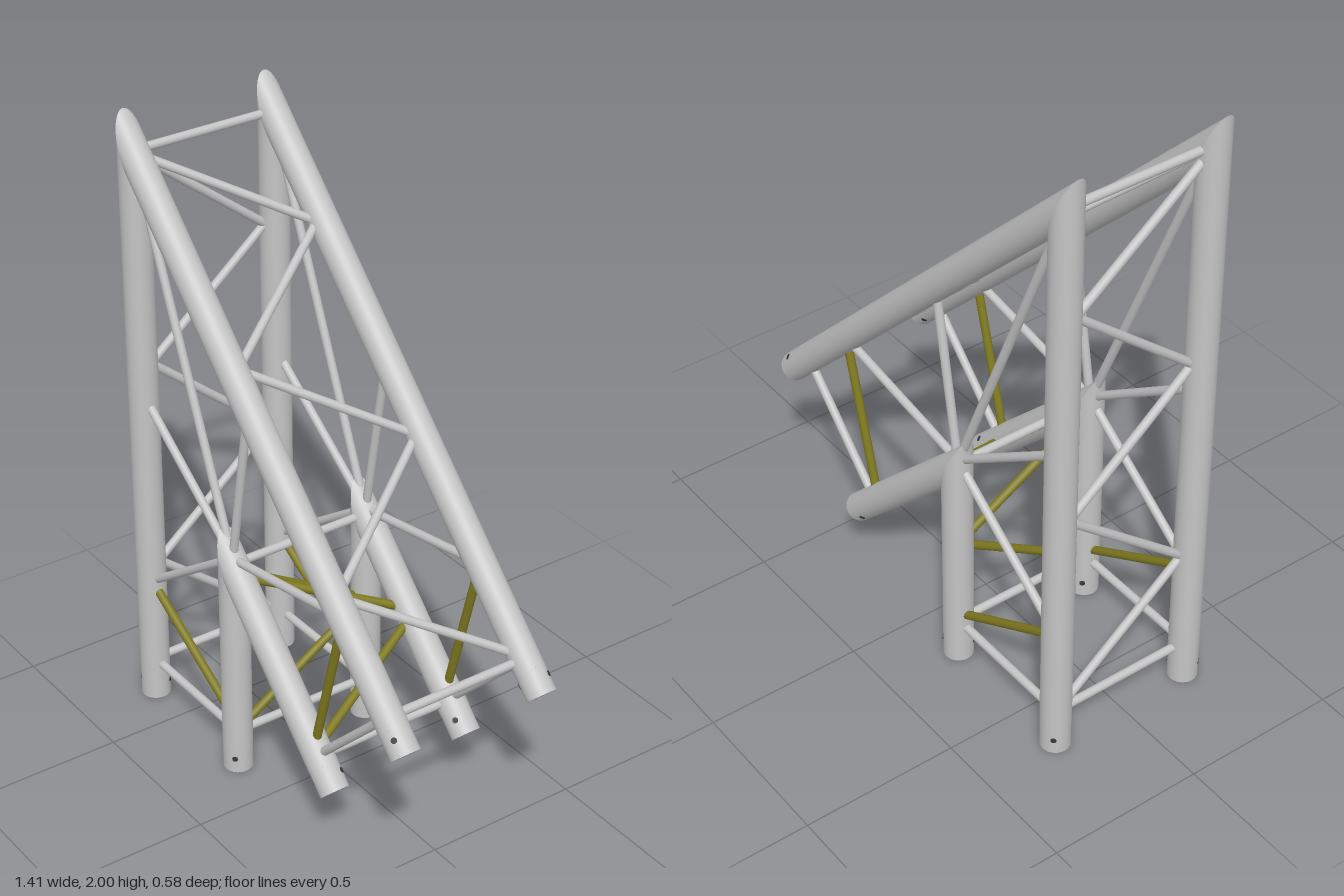
import * as THREE from 'three';

const R = 0.047;          // chord tube radius
const BAR = 0.0135;       // brace radius
const Z = 0.241;          // chord offset from the middle
const END = 0.08;         // length of the coupler at each open end
const MITRE = Math.tan(Math.PI * 3 / 8);

const OUTER = { x: -0.66, y: 1.885, length: 1.877 };  // knee point and sloping length
const INNER = { x: -0.185, y: 0.731, length: 0.728 };

export function createModel() {
  const model = new THREE.Group();
  const silver = new THREE.MeshStandardMaterial({ color: 0xc4c4c4 });
  silver.name = 'silver';
  const olive = new THREE.MeshStandardMaterial({ color: 0x807a20 });
  olive.name = 'olive';
  const dark = new THREE.MeshStandardMaterial({ color: 0x3a3a3a });
  dark.name = 'dark';

  function add(parent, name, geometry, material) {
    const mesh = new THREE.Mesh(geometry, material);
    mesh.name = name;
    parent.add(mesh);
    return mesh;
  }

  // Chord standing on its open end, its top cut at the mitre angle (slope = +1 or -1)
  function chord(name, length, slope, holeX, holeZ) {
    const group = new THREE.Group();
    group.name = name;
    const tube = new THREE.CylinderGeometry(R, R, length - END, 40);
    tube.translate(0, (length + END) / 2, 0);
    const p = tube.attributes.position;
    for (let i = 0; i < p.count; i++) {
      if (p.getY(i) > length - 0.001) p.setY(i, length + slope * MITRE * p.getX(i));
    }
    add(group, 'tube', tube, silver);
    const coupler = new THREE.CylinderGeometry(R - 0.0008, R - 0.0008, END, 40);
    add(group, 'coupler', coupler.translate(0, END / 2, 0), silver);
    // Pin hole going through the coupler
    const hole = new THREE.CylinderGeometry(0.009, 0.009, 2 * R + 0.001, 14);
    hole.rotateX(Math.PI / 2).rotateY(Math.atan2(holeX, holeZ));
    add(group, 'pinHole', hole.translate(0, 0.05, 0), dark);
    model.add(group);
    return group;
  }

  // Round bar between two points
  function bar(name, a, b, material = silver) {
    const from = new THREE.Vector3(...a), to = new THREE.Vector3(...b);
    const dir = to.clone().sub(from);
    const mesh = add(model, name, new THREE.CylinderGeometry(BAR, BAR, dir.length(), 16), material);
    mesh.position.copy(from).add(to).multiplyScalar(0.5);
    mesh.quaternion.setFromUnitVectors(new THREE.Vector3(0, 1, 0), dir.normalize());
  }

  // Bent chords: an upright leg and a sloping arm meeting at the knee
  for (const side of [1, -1]) {
    for (const [label, k, out] of [['outer', OUTER, -1], ['inner', INNER, 1]]) {
      chord(label + 'Leg', k.y, -1, out, side).position.set(k.x, 0, side * Z);
      const arm = chord(label + 'Arm', k.length, 1, -out, side);
      const d = k.length * Math.SQRT1_2;
      arm.position.set(k.x + d, k.y - d, side * Z);
      arm.rotation.z = Math.PI / 4;
    }
  }

  // Braces in the two side faces: x, y to x, y
  const sideBraces = [
    [-0.64, 0.125, -0.2, 0.125],
    [-0.635, 0.41, -0.2, 0.162, olive],
    [-0.635, 0.437, -0.19, 0.75],
    [-0.635, 1.07, -0.19, 0.755],
    [-0.625, 1.795, -0.2, 0.77],
    [-0.095, 1.29, -0.185, 0.77],
    [0.36, 0.848, -0.17, 0.755],
    [0.365, 0.83, 0.235, 0.345, olive],
    [0.585, 0.64, 0.25, 0.305],
  ];
  for (const side of [1, -1]) {
    for (const [x1, y1, x2, y2, material] of sideBraces) {
      bar('sideBrace', [x1, y1, side * Z], [x2, y2, side * Z], material);
    }
  }

  // Straight spreaders between the two side faces
  for (const [x, y] of [[-0.66, 1.885], [-0.66, 0.125], [-0.185, 0.125],
    [-0.185, 0.735], [0.25, 0.298], [0.585, 0.64]]) {
    bar('spreader', [x, y, Z], [x, y, -Z]);
  }

  // Slanted cross braces: value at the front end, value at the back end
  const zEnd = 0.205;
  const onLeg = (k) => (y) => [k.x, y];
  const onArm = (k) => (x) => [x, k.y - (x - k.x)];
  function crossBraces(name, place, pairs, material) {
    for (const [front, back] of pairs) {
      bar(name, [...place(front), zEnd], [...place(back), -zEnd], material);
    }
  }
  crossBraces('outerLegBrace', onLeg(OUTER),
    [[1.85, 1.53], [1.19, 1.53], [1.18, 0.84], [0.49, 0.83], [0.48, 0.15]], silver);
  crossBraces('outerArmBrace', onArm(OUTER),
    [[-0.635, -0.415], [-0.175, -0.4], [-0.155, 0.07], [0.315, 0.09], [0.345, 0.56]], silver);
  crossBraces('innerLegBrace', onLeg(INNER), [[0.69, 0.45], [0.15, 0.41]], olive);
  crossBraces('innerArmBrace', onArm(INNER), [[-0.145, 0.02], [0.22, 0.065]], olive);

  return model;
}
